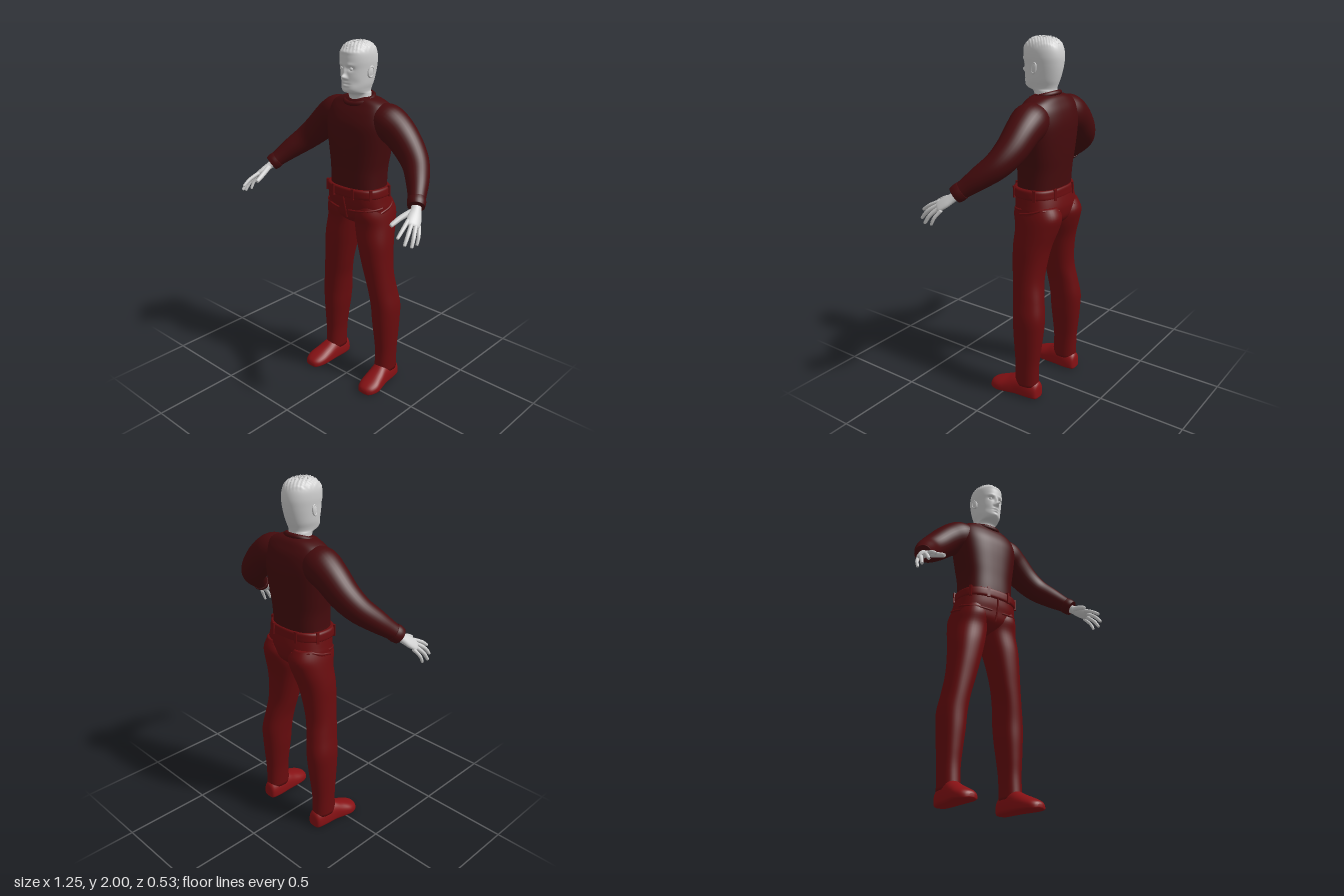
import * as THREE from 'three';

const V = (a) => new THREE.Vector3(...a);
const mat = (name, color) => {
  const m = new THREE.MeshStandardMaterial({ color });
  m.name = name;
  return m;
};

// Catmull-Rom through rows of numbers, n steps between rows
function smooth(rows, n) {
  const out = [], at = (i) => rows[Math.max(0, Math.min(rows.length - 1, i))];
  for (let i = 0; i < rows.length - 1; i++) {
    for (let k = 0; k < n; k++) {
      const t = k / n;
      out.push(rows[i].map((b, c) => {
        const a = at(i - 1)[c], d = at(i + 1)[c], e = at(i + 2)[c];
        return b + 0.5 * t * (d - a + t * (2 * a - 5 * b + 4 * d - e + t * (3 * (b - d) + e - a)));
      }));
    }
  }
  out.push(rows[rows.length - 1]);
  return out;
}

// point on a superellipse of exponent p
function oval(angle, p) {
  const f = (v) => Math.sign(v) * Math.abs(v) ** (2 / p);
  return [f(Math.cos(angle)), f(Math.sin(angle))];
}

// skin a list of equal rings and close both ends
function loft(rings) {
  const n = rings[0].length, pos = [], idx = [];
  rings.forEach((r) => r.forEach((p) => pos.push(p.x, p.y, p.z)));
  for (let i = 0; i < rings.length - 1; i++) {
    for (let j = 0; j < n; j++) {
      const a = i * n + j, b = i * n + (j + 1) % n;
      idx.push(a, b, a + n, b, b + n, a + n);
    }
  }
  [0, rings.length - 1].forEach((i) => {
    const c = rings[i].reduce((s, p) => s.add(p), new THREE.Vector3()).divideScalar(n);
    const m = pos.length / 3;
    pos.push(c.x, c.y, c.z);
    for (let j = 0; j < n; j++) {
      const a = i * n + j, b = i * n + (j + 1) % n;
      if (i) idx.push(a, b, m); else idx.push(b, a, m);
    }
  });
  const g = new THREE.BufferGeometry();
  g.setAttribute('position', new THREE.Float32BufferAttribute(pos, 3));
  g.setIndex(idx);
  g.computeVertexNormals();
  return g;
}

const ringOf = (n, fn) => Array.from({ length: n }, (_, j) => fn((j / n) * Math.PI * 2));

// body part from level sections [y, x0, x1, zBack, zFront], bottom to top
function stack(rows, p = 2.3, seg = 40, steps = 5) {
  return loft(smooth(rows, steps).map(([y, x0, x1, z0, z1]) => ringOf(seg, (a) => {
    const [u, v] = oval(a, p);
    return V([(x0 + x1) / 2 + (v * (x1 - x0)) / 2, y, (z0 + z1) / 2 + (u * (z1 - z0)) / 2]);
  })));
}
const symmetric = (rows) => rows.map(([y, hx, z0, z1]) => [y, -hx, hx, z0, z1]);

// limb along a path of [x, y, z, sideRadius, otherRadius]
function limb(rows, sideDir, seg = 24, steps = 5) {
  const path = smooth(rows, steps);
  return loft(path.map((r, i) => {
    const a = V(path[Math.max(0, i - 1)].slice(0, 3));
    const t = V(path[Math.min(path.length - 1, i + 1)].slice(0, 3)).sub(a).normalize();
    const s = V(sideDir).addScaledVector(t, -V(sideDir).dot(t)).normalize();
    const u = t.clone().cross(s);
    return ringOf(seg, (q) => V(r.slice(0, 3))
      .addScaledVector(s, Math.cos(q) * r[3]).addScaledVector(u, Math.sin(q) * r[4]));
  }));
}

function mirrored(g) {
  const m = g.clone().scale(-1, 1, 1), ix = m.index;
  for (let i = 0; i < ix.count; i += 3) {
    const b = ix.getX(i + 1);
    ix.setX(i + 1, ix.getX(i + 2));
    ix.setX(i + 2, b);
  }
  return m;
}

const tube = (pts, r, closed = false) =>
  new THREE.TubeGeometry(new THREE.CatmullRomCurve3(pts, closed), closed ? 64 : 24, r, 8, closed);

function headGeometry() {
  const g = stack(symmetric([
    [1.66, 0.064, -0.168, -0.045], [1.70, 0.061, -0.168, -0.05], [1.724, 0.06, -0.167, -0.04],
    [1.736, 0.06, -0.168, -0.004], [1.752, 0.064, -0.173, 0.01], [1.78, 0.072, -0.184, 0.012],
    [1.82, 0.078, -0.196, 0.013], [1.86, 0.083, -0.204, 0.014], [1.90, 0.087, -0.207, 0.018],
    [1.94, 0.085, -0.2, 0.014], [1.97, 0.073, -0.183, -0.006], [1.988, 0.05, -0.155, -0.03],
    [1.996, 0.022, -0.115, -0.068]]), 2.15, 112, 7);
  // face relief: [x, y, widthX, widthY, depth]
  const relief = [[0, 1.822, 0.011, 0.012, 0.026], [0, 1.85, 0.008, 0.022, 0.012],
    [0.032, 1.884, 0.02, 0.008, 0.005], [0.031, 1.863, 0.015, 0.01, -0.011],
    [0.013, 1.816, 0.006, 0.006, 0.008], [0, 1.791, 0.019, 0.005, 0.007],
    [0, 1.784, 0.024, 0.003, -0.005], [0, 1.776, 0.016, 0.005, 0.007],
    [0, 1.75, 0.016, 0.01, 0.004], [0.05, 1.79, 0.018, 0.02, -0.004],
    [0, 1.948, 0.06, 0.01, 0.006]];
  const p = g.attributes.position;
  for (let i = 0; i < p.count; i++) {
    const x = p.getX(i), y = p.getY(i), z = p.getZ(i);
    let dz = 0;
    if (z > -0.06) {
      relief.forEach(([cx, cy, wx, wy, d]) => {
        dz += d * Math.exp(-(((Math.abs(x) - cx) / wx) ** 2) - ((y - cy) / wy) ** 2);
      });
    }
    // cropped hair texture on the crown
    const hair = THREE.MathUtils.smoothstep(y, 1.94, 1.96) * 0.003;
    p.setXYZ(i, x, y + hair * Math.sin(x * 300 + z * 90) * Math.cos(z * 260), z + dz);
  }
  g.computeVertexNormals();
  return g;
}

export function createModel() {
  const model = new THREE.Group();
  model.name = 'standingMan';
  const skin = mat('pale grey skin', 0xd0d0d0);
  const shirt = mat('dark maroon shirt', 0x450b0d);
  const pants = mat('deep red trousers', 0x680c0e);
  const shoe = mat('red shoes', 0x861114);
  const add = (name, geo, material) => {
    const m = new THREE.Mesh(geo, material);
    m.name = name;
    model.add(m);
    return m;
  };
  const pair = (name, geo, material) => {
    add(name + 'Left', geo, material);
    add(name + 'Right', mirrored(geo), material);
  };

  // head, ears, eyes and hair tufts
  add('head', headGeometry(), skin);
  const ear = new THREE.SphereGeometry(1, 16, 12).scale(0.008, 0.03, 0.019);
  pair('ear', ear.rotateX(-0.2).rotateY(-0.25).translate(0.086, 1.842, -0.09), skin);
  const earRim = new THREE.TorusGeometry(0.018, 0.004, 8, 24).scale(0.9, 1.45, 1);
  pair('earRim', earRim.rotateY(Math.PI / 2 - 0.3).rotateX(-0.2).translate(0.09, 1.844, -0.092), skin);
  pair('eye', new THREE.SphereGeometry(0.011, 16, 12).translate(0.031, 1.862, -0.004), skin);
  for (let i = 0; i < 60; i++) {
    const r = Math.sqrt((i + 0.5) / 60), a = i * 2.4;
    const x = Math.cos(a) * r * 0.07, z = -0.092 + Math.sin(a) * r * 0.095;
    const tuft = new THREE.SphereGeometry(1, 6, 4).scale(0.007, 0.004, 0.003);
    add('hairTuft', tuft.rotateY(a * 3).translate(x, 1.997 - 0.036 * r ** 3, z), skin);
  }

  // shirt body, collar and sleeves
  add('shirtBody', stack(symmetric([
    [1.18, 0.165, -0.222, 0.018], [1.24, 0.163, -0.226, 0.02], [1.32, 0.165, -0.232, 0.02],
    [1.4, 0.178, -0.24, 0.021], [1.5, 0.195, -0.246, 0.021], [1.57, 0.202, -0.245, 0.014],
    [1.63, 0.198, -0.232, -0.01], [1.67, 0.175, -0.212, -0.035], [1.695, 0.125, -0.195, -0.05],
    [1.708, 0.075, -0.175, -0.065]]), 2.5, 56), shirt);
  add('collar', tube(ringOf(24, (a) => V([
    0.079 * Math.sin(a), 1.696 - 0.021 * Math.cos(a), -0.103 + 0.073 * Math.cos(a)])), 0.013, true), shirt);
  pair('sleeve', limb([
    [0.12, 1.6, -0.125, 0.09, 0.085], [0.18, 1.583, -0.13, 0.1, 0.1],
    [0.25, 1.543, -0.133, 0.092, 0.092], [0.33, 1.47, -0.124, 0.082, 0.083],
    [0.4, 1.405, -0.092, 0.071, 0.072], [0.46, 1.345, -0.03, 0.06, 0.06],
    [0.505, 1.292, 0.03, 0.047, 0.047], [0.532, 1.258, 0.07, 0.042, 0.042]], [0, 0, 1], 32), shirt);
  pair('cuff', limb([[0.513, 1.281, 0.043, 0.047, 0.047], [0.524, 1.268, 0.058, 0.048, 0.048],
    [0.534, 1.255, 0.073, 0.044, 0.044]], [0, 0, 1], 28), shirt);

  // hands
  const across = [0.04, -0.025, -0.045];
  pair('palm', limb([[0.515, 1.272, 0.045, 0.028, 0.026], [0.54, 1.243, 0.08, 0.028, 0.021],
    [0.559, 1.217, 0.115, 0.037, 0.019], [0.575, 1.195, 0.147, 0.037, 0.014],
    [0.581, 1.187, 0.158, 0.027, 0.008]], across, 24), skin);
  const fingers = {
    indexFinger: [[0.552, 1.212, 0.158], [0.565, 1.185, 0.215], [0.569, 1.155, 0.258]],
    middleFinger: [[0.57, 1.2, 0.152], [0.592, 1.163, 0.207], [0.6, 1.122, 0.242]],
    ringFinger: [[0.584, 1.19, 0.138], [0.608, 1.147, 0.182], [0.617, 1.106, 0.208]],
    littleFinger: [[0.591, 1.182, 0.118], [0.612, 1.142, 0.148], [0.617, 1.105, 0.166]],
    thumb: [[0.532, 1.24, 0.095], [0.509, 1.216, 0.16], [0.496, 1.19, 0.217]],
  };
  for (const [name, [a, b, c]] of Object.entries(fingers)) {
    const r = name === 'thumb' ? 0.015 : name === 'littleFinger' ? 0.0095 : 0.011;
    const tip = c.map((v, k) => v + (c[k] - b[k]) * 0.08);
    pair(name, limb([[...a, r, r], [...b, r * 0.95, r * 0.95], [...c, r * 0.75, r * 0.75],
      [...tip, r * 0.3, r * 0.3]], across, 12), skin);
  }

  // trousers: seat, waistband and legs
  add('trouserSeat', stack(symmetric([
    [0.985, 0.05, -0.16, -0.08], [1.01, 0.11, -0.205, -0.03], [1.05, 0.185, -0.24, 0.002],
    [1.1, 0.19, -0.25, 0.015], [1.14, 0.185, -0.246, 0.024], [1.2, 0.177, -0.23, 0.028]]), 2.5, 56), pants);
  add('waistband', stack(symmetric([
    [1.168, 0.176, -0.23, 0.026], [1.174, 0.185, -0.237, 0.035], [1.195, 0.185, -0.236, 0.037],
    [1.216, 0.182, -0.234, 0.036], [1.222, 0.172, -0.226, 0.027]]), 2.5, 56, 3), pants);
  pair('trouserLeg', stack([
    [1.13, 0.02, 0.178, -0.24, 0.0], [1.07, 0.002, 0.195, -0.266, 0.01], [1.0, 0.0, 0.207, -0.25, -0.006],
    [0.9, 0.024, 0.22, -0.217, -0.004], [0.8, 0.05, 0.226, -0.2, -0.01], [0.7, 0.075, 0.235, -0.195, -0.02],
    [0.6, 0.1, 0.248, -0.21, -0.03], [0.5, 0.113, 0.264, -0.225, -0.04], [0.4, 0.122, 0.264, -0.22, -0.045],
    [0.3, 0.135, 0.26, -0.21, -0.053], [0.2, 0.145, 0.256, -0.2, -0.06],
    [0.08, 0.146, 0.255, -0.2, -0.055]].reverse(), 2.25, 40), pants);

  // belt loops, pocket edges and fly
  const hip = (a, y, out = 0) => {
    const [u, v] = oval(a, 2.5);
    return V([v * (0.189 + out), y, -0.112 + u * (0.132 + out)]);
  };
  [0.3, 1.0, 1.9, 2.75].forEach((a) => {
    const [u, v] = oval(a, 2.5);
    const loop = new THREE.BoxGeometry(0.016, 0.064, 0.012).rotateY(a);
    pair('beltLoop', loop.translate(v * 0.184, 1.195, -0.1 + u * 0.136), pants);
  });
  const edge = (a0, y0, a1, y1, out) => tube(Array.from({ length: 9 }, (_, i) =>
    hip(a0 + ((a1 - a0) * i) / 8, y0 + ((y1 - y0) * i) / 8, out)), 0.006);
  pair('frontPocketEdge', edge(0.12, 1.092, 1.45, 1.112, 0), pants);
  pair('sidePocketEdge', edge(1.35, 1.085, 2.1, 1.12, 0.002), pants);
  pair('backPocketEdge', edge(2.2, 1.118, 2.85, 1.105, 0.007), pants);
  add('fly', tube([V([0, 1.17, 0.03]), V([0.004, 1.1, 0.016]), V([0.002, 1.04, 0.0])], 0.006), pants);

  // shoes from upright sections [z, centre x, half width, height]
  const shoeRows = smooth([[-0.212, 0.198, 0.02, 0.07], [-0.2, 0.198, 0.042, 0.1], [-0.15, 0.199, 0.054, 0.125],
    [-0.08, 0.203, 0.057, 0.128], [-0.02, 0.21, 0.063, 0.1], [0.03, 0.216, 0.066, 0.078],
    [0.07, 0.217, 0.055, 0.06], [0.092, 0.216, 0.036, 0.046], [0.1, 0.215, 0.014, 0.032]], 5);
  pair('shoe', loft(shoeRows.map(([z, cx, w, h]) => ringOf(32, (a) => {
    const [u, v] = oval(a, v0(a) ? 2.2 : 4);
    const base = 0.005 + Math.max(0, 0.04 - w) * 0.4;
    const mid = base + (h - base) * 0.35;
    return V([cx + u * w, v > 0 ? mid + v * (h - mid) : mid + v * (mid - base), z]);
  }))), shoe);
  return model;
}

// true on the upper half of a section
const v0 = (a) => Math.sin(a) > 0;
